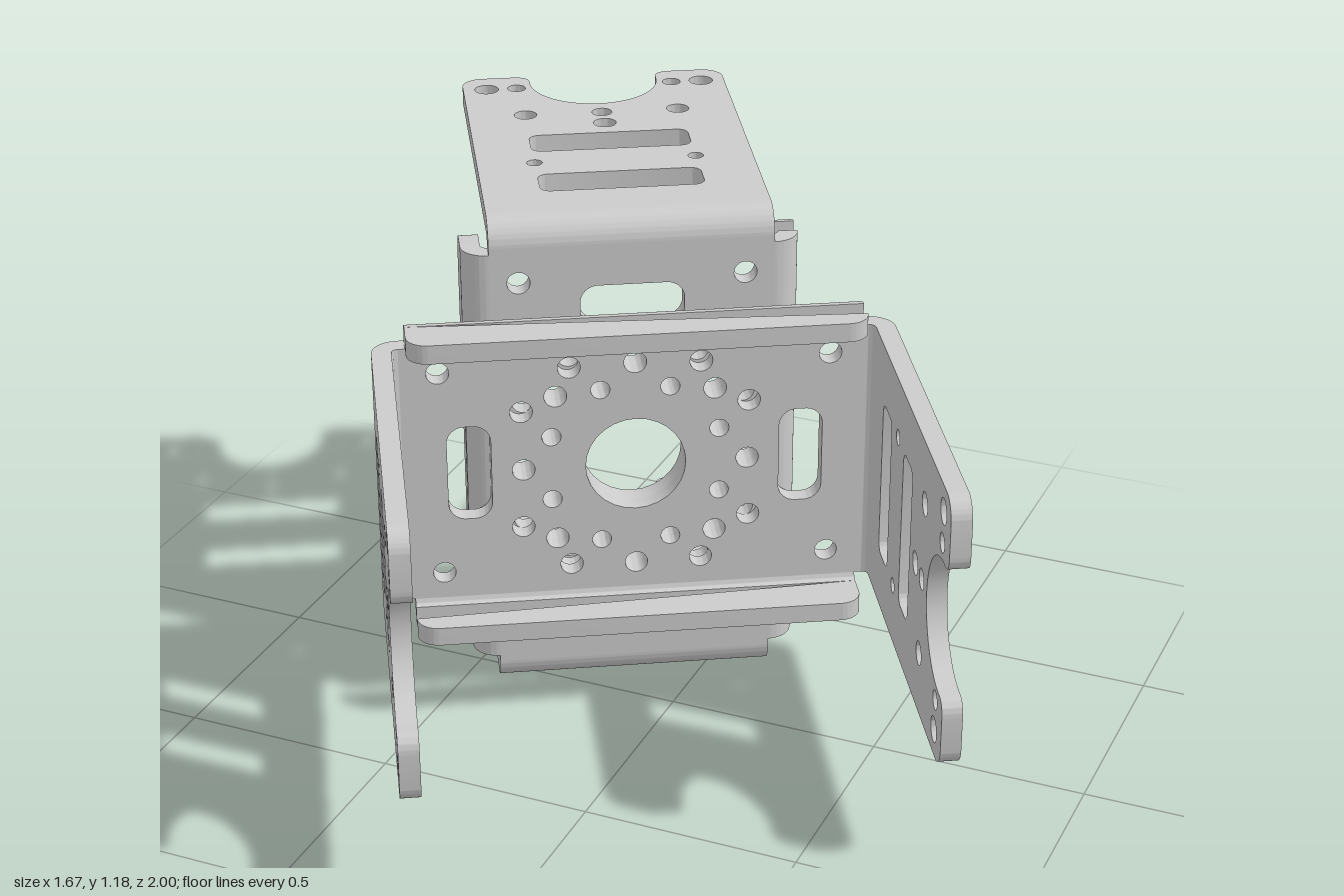
import * as THREE from 'three';
import { toCreasedNormals } from 'three/addons/utils/BufferGeometryUtils.js';

const T = 0.045;        // sheet thickness
const R = 0.06;         // outer bend radius
const REACH = 0.59;     // half distance between the outer faces of the arms
const ARM_W = 0.32;     // half width of an arm
const ARM_L = 0.905;    // arm length, measured from the back of the plate
const FLANGE_REACH = 0.38, FLANGE_W = 0.515, FLANGE_L = 0.162;

const metal = new THREE.MeshStandardMaterial({ color: 0xcccccc });

function sheet(name, shape, depth = T) {
  const geo = new THREE.ExtrudeGeometry(shape, { depth, bevelEnabled: false, curveSegments: 14 });
  const mesh = new THREE.Mesh(toCreasedNormals(geo, 0.6), metal);
  mesh.name = name;
  return mesh;
}

function hole(shape, x, y, r) {
  const p = new THREE.Path();
  p.absarc(x, y, r, 0, Math.PI * 2, true);
  shape.holes.push(p);
}

// Rounded slot centred on (x, y)
function slot(shape, x, y, w, h, r) {
  const p = new THREE.Path(), a = w / 2, b = h / 2, q = Math.PI / 2;
  p.absarc(x + a - r, y + b - r, r, 0, q, false);
  p.absarc(x - a + r, y + b - r, r, q, 2 * q, false);
  p.absarc(x - a + r, y - b + r, r, 2 * q, 3 * q, false);
  p.absarc(x + a - r, y - b + r, r, 3 * q, 4 * q, false);
  p.closePath();
  shape.holes.push(p);
}

// Central plate with its bolt pattern
function plateShape() {
  const x = REACH - R, y = FLANGE_REACH - R;
  const s = new THREE.Shape([[-x, -y], [x, -y], [x, y], [-x, y]].map(p => new THREE.Vector2(...p)));
  hole(s, 0, 0, 0.115);
  for (let i = 0; i < 8; i++) {
    const a = i * Math.PI / 4, b = a + Math.PI / 8;
    hole(s, 0.257 * Math.cos(a), 0.257 * Math.sin(a), 0.026);
    hole(s, 0.208 * Math.cos(b), 0.208 * Math.sin(b), 0.022);
  }
  for (const i of [-1, 1]) {
    slot(s, i * 0.38, 0, 0.1, 0.235, 0.04);
    for (const j of [-1, 1]) {
      hole(s, i * 0.15, j * 0.252, 0.026);
      hole(s, i * 0.26, j * 0.147, 0.026);
      hole(s, i * 0.445, j * 0.255, 0.026);
    }
  }
  return s;
}

// Arm: x runs away from the plate, the tip has a round notch between two lobes
function armShape() {
  const s = new THREE.Shape(), c = 0.05, n = 0.155, m = ARM_L - 0.035;
  s.moveTo(R, -ARM_W);
  s.lineTo(ARM_L - c, -ARM_W);
  s.absarc(ARM_L - c, -ARM_W + c, c, -Math.PI / 2, 0, false);
  s.lineTo(ARM_L, -n - 0.04);
  s.quadraticCurveTo(ARM_L, -n, m, -n);
  s.absarc(m - 0.01, 0, n, -Math.PI / 2, Math.PI / 2, true);
  s.lineTo(m, n);
  s.quadraticCurveTo(ARM_L, n, ARM_L, n + 0.04);
  s.lineTo(ARM_L, ARM_W - c);
  s.absarc(ARM_L - c, ARM_W - c, c, 0, Math.PI / 2, false);
  s.lineTo(R, ARM_W);
  slot(s, 0.225, 0, 0.1, 0.375, 0.025);
  slot(s, 0.465, 0, 0.1, 0.375, 0.025);
  hole(s, 0.578, 0, 0.027);
  hole(s, 0.648, 0, 0.024);
  for (const j of [-1, 1]) {
    hole(s, 0.347, j * 0.187, 0.018);
    hole(s, 0.65, j * 0.183, 0.027);
    hole(s, 0.831, j * 0.263, 0.029);
    hole(s, 0.831, j * 0.19, 0.022);
  }
  return s;
}

function flangeShape() {
  const s = new THREE.Shape(), c = 0.05;
  s.moveTo(R, -FLANGE_W);
  s.absarc(FLANGE_L - c, -FLANGE_W + c, c, -Math.PI / 2, 0, false);
  s.absarc(FLANGE_L - c, FLANGE_W - c, c, 0, Math.PI / 2, false);
  s.lineTo(R, FLANGE_W);
  return s;
}

// A wall folded up from the plate through a quarter-round bend
function foldedWall(name, shape, reach, halfWidth, angle) {
  const g = new THREE.Group();
  g.name = name;
  const wall = sheet(name + 'Wall', shape);
  wall.rotation.y = -Math.PI / 2;
  wall.position.x = reach;
  const profile = new THREE.Shape();
  profile.absarc(reach - R, R, R, -Math.PI / 2, 0, false);
  profile.absarc(reach - R, R, R - T, 0, -Math.PI / 2, true);
  profile.closePath();
  const bend = sheet(name + 'Bend', profile, halfWidth * 2);
  bend.rotation.x = Math.PI / 2;
  bend.position.y = halfWidth;
  g.add(wall, bend);
  g.rotation.z = angle;
  return g;
}

function bracket(name) {
  const g = new THREE.Group();
  g.name = name;
  g.add(sheet('plate', plateShape()));
  for (const a of [0, Math.PI]) {
    g.add(foldedWall('arm', armShape(), REACH, ARM_W, a));
    g.add(foldedWall('flange', flangeShape(), FLANGE_REACH, FLANGE_W, a + Math.PI / 2));
  }
  return g;
}

export function createModel() {
  const model = new THREE.Group();
  model.name = 'doubleBracket';
  // Two equal brackets back to back, the rear one turned a quarter
  const pair = new THREE.Group();
  pair.name = 'bracketPair';
  const front = bracket('frontBracket');
  const rear = bracket('rearBracket');
  rear.rotation.set(0, Math.PI, Math.PI / 2);
  pair.add(front, rear);
  pair.rotation.y = Math.PI / 6;
  pair.position.set(-0.132, 0.59, -0.079);
  model.add(pair);
  return model;
}
